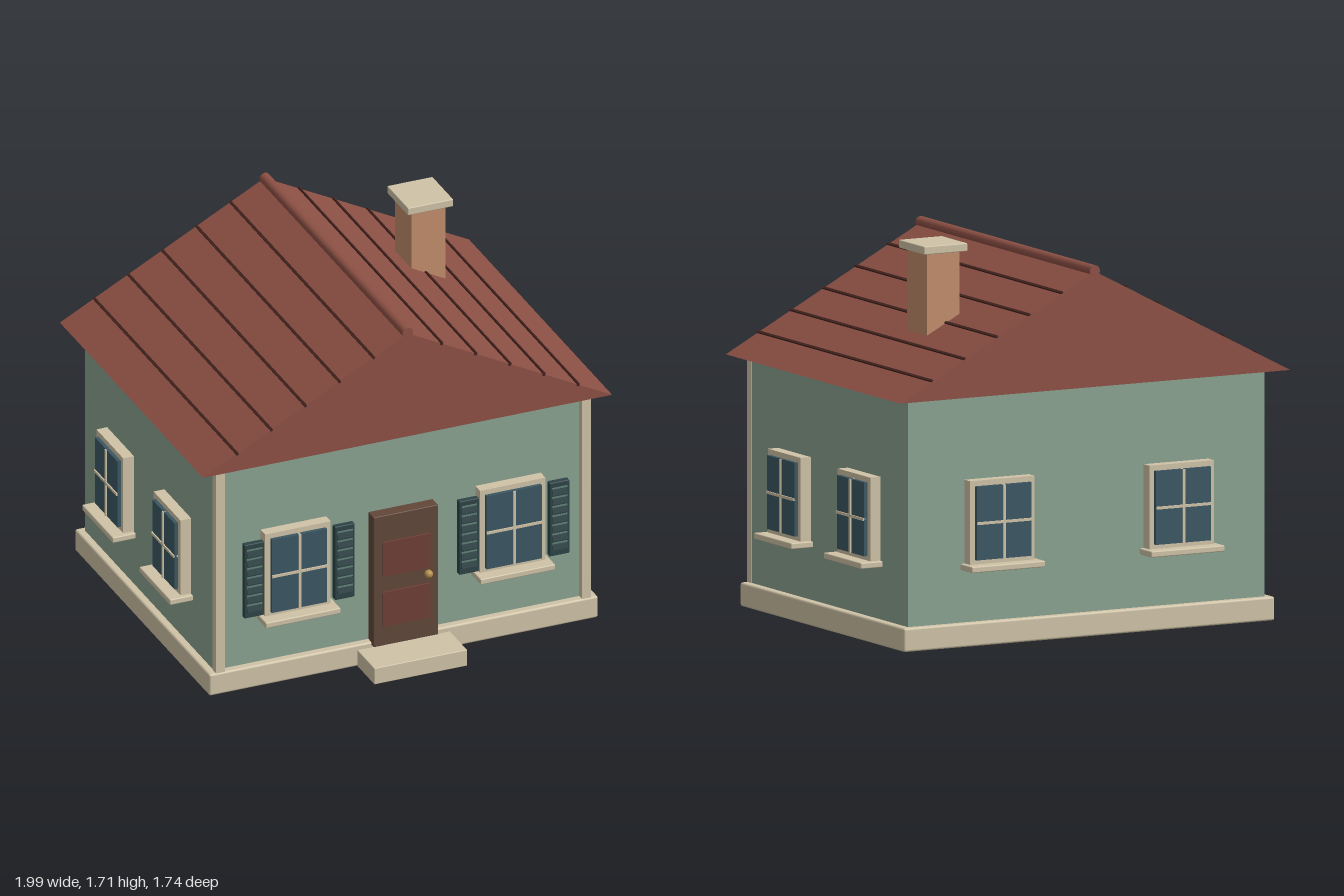
import * as THREE from 'three';
import { RoundedBoxGeometry } from 'three/addons/geometries/RoundedBoxGeometry.js';

const mat = (color) => new THREE.MeshStandardMaterial({ color });
const M = {
  wall: mat(0x8aa291), cream: mat(0xcfc2a6), roof: mat(0x8c5044), seam: mat(0x42221d),
  brick: mat(0xc18c6b), glass: mat(0x3b5763), shutter: mat(0x2d4346), slat: mat(0x5f8074),
  door: mat(0x614739), panel: mat(0x6e3f37), brass: mat(0xb3904d),
};
const WALL = { x: 0.885, front: 0.65, back: -0.76 };
const MID_Z = (WALL.front + WALL.back) / 2;

function add(parent, name, geometry, material, x = 0, y = 0, z = 0) {
  const mesh = new THREE.Mesh(geometry, material);
  mesh.name = name;
  mesh.position.set(x, y, z);
  parent.add(mesh);
  return mesh;
}

// Box given by its lower and upper limits on each axis
function box(parent, name, material, [x0, x1], [y0, y1], [z0, z1], radius = 0) {
  const s = [x1 - x0, y1 - y0, z1 - z0];
  const geometry = radius ? new RoundedBoxGeometry(...s, 2, radius) : new THREE.BoxGeometry(...s);
  return add(parent, name, geometry, material, (x0 + x1) / 2, (y0 + y1) / 2, (z0 + z1) / 2);
}

// Window facing +z with its back on z = 0; y is measured from the ground
function makeWindow(name, width, [bottom, top]) {
  const g = new THREE.Group();
  g.name = name;
  const w = width / 2, gw = w - 0.024, g0 = bottom + 0.024, g1 = top - 0.024;
  const mid = (g0 + g1) / 2;
  box(g, 'windowFrame', M.cream, [-w, w], [bottom, top], [0, 0.051]);
  box(g, 'windowGlass', M.glass, [-gw, gw], [g0, g1], [0.04, 0.068]);
  box(g, 'verticalGlazingBar', M.cream, [-0.006, 0.006], [g0, g1], [0.05, 0.074]);
  box(g, 'horizontalGlazingBar', M.cream, [-gw, gw], [mid - 0.006, mid + 0.006], [0.05, 0.074]);
  box(g, 'windowSill', M.cream, [-w - 0.022, w + 0.022], [bottom - 0.023, bottom + 0.004], [0, 0.11], 0.005);
  return g;
}

function makeShutter(x) {
  const g = new THREE.Group();
  g.name = 'shutter';
  g.position.x = x;
  box(g, 'shutterBoard', M.shutter, [-0.047, 0.047], [0.367, 0.727], [0.042, 0.07], 0.004);
  for (let i = 0; i < 7; i++) {
    const y = 0.412 + i * 0.045;
    const slat = box(g, 'shutterSlat', M.shutter, [-0.036, 0.036], [y - 0.015, y + 0.015], [0.066, 0.074]);
    slat.rotation.x = -0.25;
    box(g, 'slatEdge', M.slat, [-0.036, 0.036], [y + 0.014, y + 0.021], [0.066, 0.073]);
  }
  return g;
}

export function createModel() {
  const house = new THREE.Group();
  house.name = 'house';

  // Base, walls and front corner boards
  box(house, 'foundation', M.cream, [-0.92, 0.92], [0, 0.105], [-0.79, 0.685], 0.01);
  box(house, 'doorStep', M.cream, [-0.22, 0.22], [0, 0.08], [0.6, 0.87], 0.004);
  box(house, 'walls', M.wall, [-WALL.x, WALL.x], [0.1, 1.106], [WALL.back, WALL.front]);
  for (const s of [-1, 1]) {
    const board = box(house, 'cornerBoard', M.cream, [0.845, 0.887], [0.1, 1.105], [0.64, 0.68]);
    board.position.x *= s;
  }

  // Windows on all four sides
  const place = (win, x, z, turn) => {
    win.position.set(x, 0, z);
    win.rotation.y = turn;
    house.add(win);
    return win;
  };
  for (const s of [-1, 1]) {
    const front = place(makeWindow('frontWindow', 0.31, [0.343, 0.75]), s * 0.508, WALL.front, 0);
    front.add(makeShutter(-0.214), makeShutter(0.214));
    place(makeWindow('backWindow', 0.32, [0.36, 0.732]), s * 0.445, WALL.back, Math.PI);
    for (const side of [-1, 1]) {
      place(makeWindow('sideWindow', 0.293, [0.36, 0.732]), side * WALL.x, MID_Z + s * 0.313, side * Math.PI / 2);
    }
  }

  // Front door with two panels and a knob
  const door = new THREE.Group();
  door.name = 'frontDoor';
  house.add(door);
  box(door, 'doorLeaf', M.door, [-0.153, 0.153], [0.09, 0.728], [0.64, 0.708], 0.004);
  box(door, 'upperDoorPanel', M.panel, [-0.112, 0.112], [0.432, 0.6], [0.7, 0.718]);
  box(door, 'lowerDoorPanel', M.panel, [-0.112, 0.112], [0.187, 0.355], [0.7, 0.718]);
  add(door, 'doorKnob', new THREE.SphereGeometry(0.019, 16, 12), M.brass, 0.1, 0.407, 0.725);

  // Gabled roof
  const half = 0.968, eaves = 1.105, ridge = 1.612, z0 = -0.84, z1 = 0.725;
  const gable = new THREE.Shape([[-half, eaves], [half, eaves], [0, ridge]].map((p) => new THREE.Vector2(...p)));
  const depth = z1 - z0;
  add(house, 'roof', new THREE.ExtrudeGeometry(gable, { depth, bevelEnabled: false }), M.roof, 0, 0, z0);
  const slope = Math.atan2(ridge - eaves, half);

  // Seams running along both slopes, and the ridge cap
  for (const s of [-1, 1]) {
    for (let i = 1; i <= 5; i++) {
      const t = i / 6;
      const seam = add(house, 'roofSeam', new THREE.BoxGeometry(0.012, 0.014, depth), M.seam,
        s * half * t, ridge + (eaves - ridge) * t, MID_Z);
      seam.rotation.z = -s * slope;
    }
  }
  add(house, 'ridgeCap', new THREE.CylinderGeometry(0.025, 0.025, depth, 16).rotateX(Math.PI / 2), M.roof, 0, 1.614, MID_Z);

  // Chimney
  box(house, 'chimneyStack', M.brick, [0.417, 0.578], [1.2, 1.675], [-0.375, -0.197]);
  box(house, 'chimneyCap', M.cream, [0.39, 0.605], [1.67, 1.706], [-0.4, -0.172], 0.004);
  return house;
}
